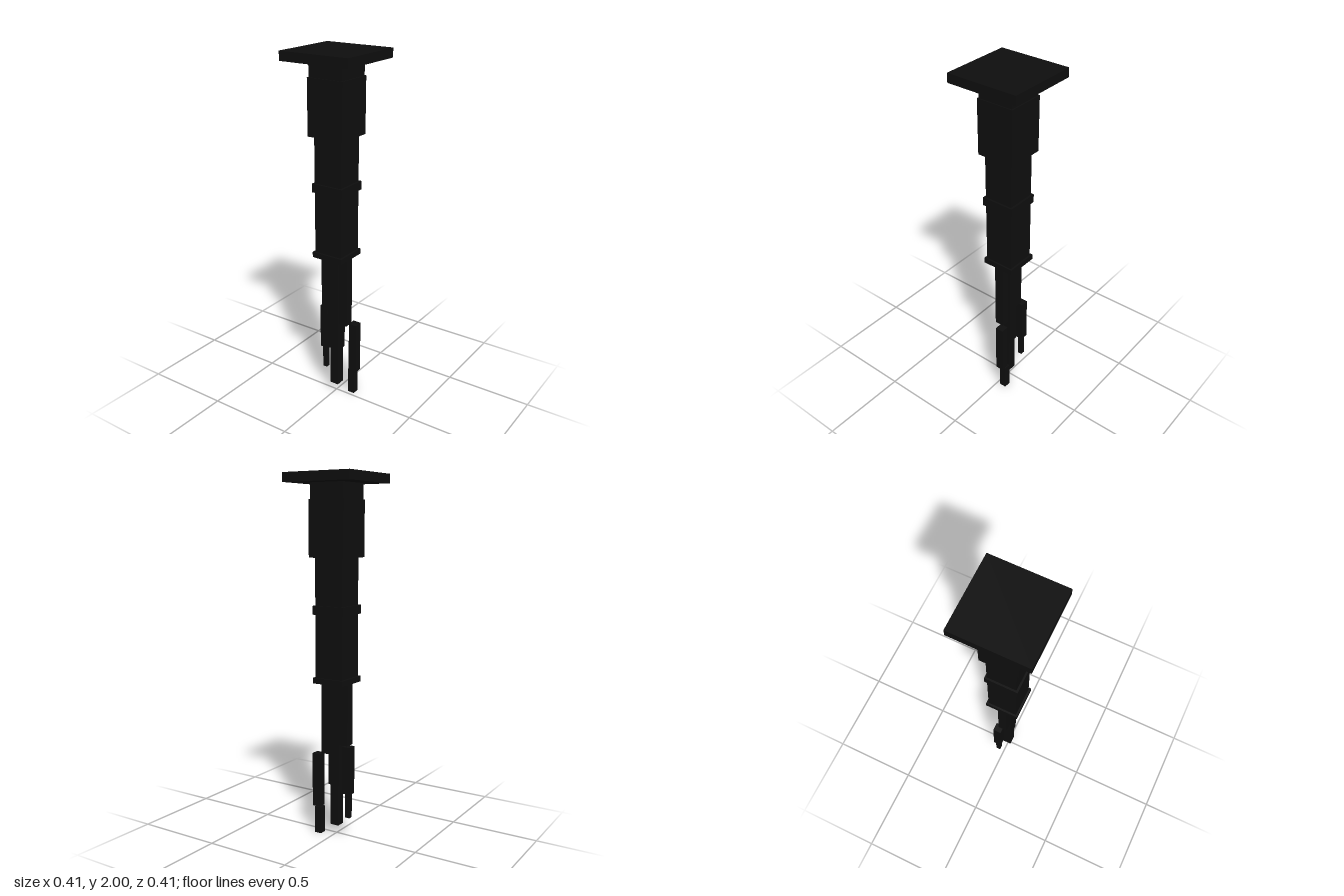
import * as THREE from 'three';

const black = new THREE.MeshStandardMaterial({ color: 0x0e0e0e });
black.name = 'matte black';

// Box given by its centre in x and z, its bottom and top, and its width and depth
function block(name, x, z, y0, y1, w, d = w) {
  const mesh = new THREE.Mesh(new THREE.BoxGeometry(w, y1 - y0, d), black);
  mesh.name = name;
  mesh.position.set(x, (y0 + y1) / 2, z);
  return mesh;
}

export function createModel() {
  const model = new THREE.Group();
  model.name = 'mechanicalArm';

  // Mounting plate, neck, housing and shaft with two collars
  model.add(
    block('mountingPlate', 0, 0, 1.95, 2, 0.41),
    block('neck', 0, 0, 1.865, 1.95, 0.204),
    block('housing', 0, 0, 1.56, 1.865, 0.216),
    block('shaft', 0, 0, 0.88, 1.56, 0.168),
    block('upperCollar', 0, 0, 1.255, 1.303, 0.19),
    block('lowerCollar', 0, 0, 0.877, 0.908, 0.19)
  );

  // Fingers: segments from root to tip as [x, z, bottom, top, width, depth]
  const fingers = {
    rightFinger: [
      [-0.06, 0, 0.53, 0.88, 0.05, 0.054],
      [-0.091, -0.024, 0.26, 0.53, 0.048, 0.048],
      [-0.093, -0.025, 0.12, 0.26, 0.027, 0.027],
    ],
    middleFinger: [
      [0, 0, 0.293, 0.88, 0.067, 0.067],
      [0, 0, 0.055, 0.293, 0.052, 0.052],
    ],
    leftFinger: [
      [0.06, 0, 0.465, 0.88, 0.05, 0.054],
      [0.103, -0.032, 0.155, 0.465, 0.048, 0.048],
      [0.088, -0.041, 0, 0.155, 0.04, 0.04],
    ],
  };
  for (const [name, segments] of Object.entries(fingers)) {
    const finger = new THREE.Group();
    finger.name = name;
    segments.forEach((s, i) => finger.add(block(`${name}Segment${i + 1}`, ...s)));
    model.add(finger);
  }
  return model;
}
